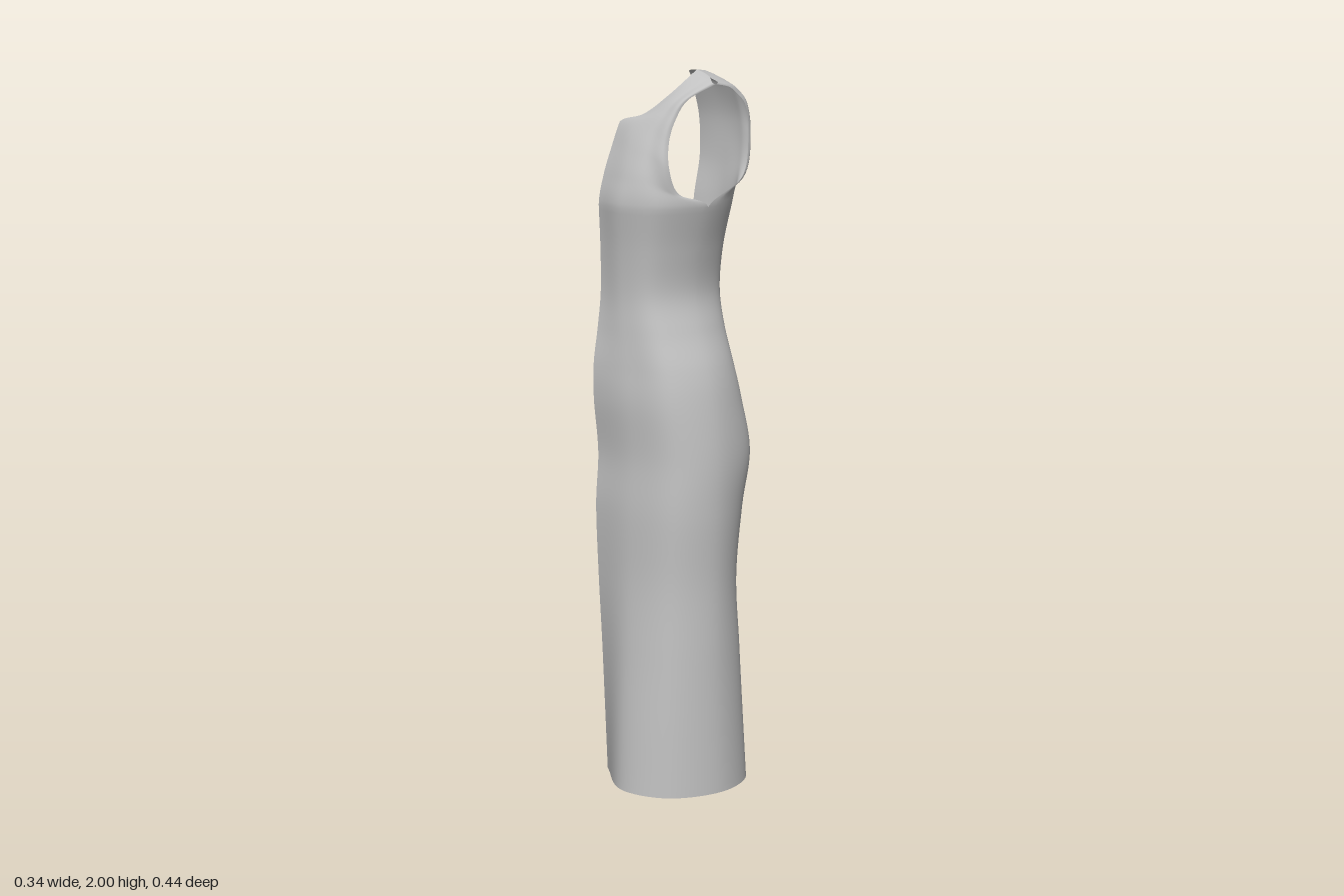
import * as THREE from 'three';
import { mergeGeometries, mergeVertices } from 'three/addons/utils/BufferGeometryUtils.js';

const CENTRE = -0.175; // x of the open centre edge

// Body sections: y, back centre z, back fullest z, side x, side z, front fullest z, front centre z
const BODY = [
  [0.00, -0.115, -0.185, 0.170, 0.010, 0.220, 0.140],
  [0.20, -0.120, -0.175, 0.161, 0.010, 0.207, 0.148],
  [0.40, -0.128, -0.165, 0.152, 0.010, 0.190, 0.157],
  [0.60, -0.138, -0.153, 0.145, 0.005, 0.175, 0.168],
  [0.80, -0.170, -0.175, 0.150, 0.000, 0.170, 0.175],
  [0.95, -0.200, -0.213, 0.146, -0.010, 0.160, 0.166],
  [1.10, -0.185, -0.190, 0.125, -0.010, 0.165, 0.180],
  [1.20, -0.168, -0.174, 0.100, -0.010, 0.160, 0.180],
  [1.30, -0.163, -0.170, 0.058, -0.010, 0.155, 0.165],
  [1.40, -0.166, -0.175, 0.027, -0.010, 0.152, 0.153],
  [1.52, -0.172, -0.181, 0.037, -0.015, 0.157, 0.153],
  [1.64, -0.187, -0.195, 0.063, -0.030, 0.168, 0.158],
];

// Bodice rows from underarm to shoulder, each from centre or neck edge to armhole edge
const SHOULDER = [[-0.042, 2, -0.08], [-0.02, 1.993, -0.085], [0.005, 1.982, -0.085], [0.03, 1.965, -0.085]];
const BACK = [
  [[-0.175, 1.75, -0.208], [-0.07, 1.75, -0.212], [0, 1.745, -0.203], [0.05, 1.71, -0.165]],
  [[-0.175, 1.86, -0.205], [-0.08, 1.86, -0.215], [-0.01, 1.85, -0.214], [0.033, 1.82, -0.203]],
  [[-0.175, 1.95, -0.18], [-0.09, 1.945, -0.195], [-0.02, 1.93, -0.2], [0.03, 1.9, -0.195]],
  [[-0.175, 1.985, -0.167], [-0.1, 1.975, -0.175], [-0.03, 1.96, -0.185], [0.028, 1.935, -0.165]],
  [[-0.085, 1.993, -0.145], [-0.05, 1.985, -0.148], [-0.01, 1.973, -0.145], [0.028, 1.955, -0.135]],
  SHOULDER,
];
const FRONT = [
  [[-0.175, 1.72, 0.14], [-0.07, 1.72, 0.15], [0, 1.715, 0.125], [0.043, 1.68, 0.058]],
  [[-0.175, 1.79, 0.113], [-0.09, 1.79, 0.122], [-0.02, 1.785, 0.112], [0.034, 1.75, 0.084]],
  [[-0.175, 1.86, 0.082], [-0.105, 1.855, 0.09], [-0.03, 1.845, 0.085], [0.02, 1.82, 0.072]],
  [[-0.1, 1.885, 0.06], [-0.06, 1.89, 0.06], [-0.02, 1.89, 0.055], [0.018, 1.88, 0.045]],
  [[-0.055, 1.935, 0.01], [-0.03, 1.935, 0.013], [-0.005, 1.933, 0.012], [0.022, 1.928, 0.005]],
  SHOULDER,
];

// Seven points around one body section, back centre to front centre
function section([y, backC, backM, sideX, sideZ, frontM, frontC], row) {
  const bulge = CENTRE + 0.45 * (sideX - CENTRE);
  const corner = bulge + 0.72 * (sideX - bulge);
  const xz = [
    [CENTRE, backC], [bulge, backM], [corner, sideZ + 0.72 * (backM - sideZ)],
    [sideX, sideZ],
    [corner, sideZ + 0.72 * (frontM - sideZ)], [bulge, frontM], [CENTRE, frontC],
  ];
  // the hem rises slightly toward the front
  return xz.map(([x, z], i) => [x, y + (row === 0 ? 0.015 * i / 6 : 0), z]);
}

const extend = (a, b) => a.map((v, i) => 2 * v - b[i]);

// Catmull-Rom point between b and c
function spline(a, b, c, d, t) {
  return b.map((v, i) => 0.5 * (2 * v + (c[i] - a[i]) * t
    + (2 * a[i] - 5 * v + 4 * c[i] - d[i]) * t * t
    + (3 * v - a[i] - 3 * c[i] + d[i]) * t * t * t));
}

// Loft rows of five points (the fifth only steers the outer edge)
function loft(rows, before, flip, steps = 8, across = 8) {
  const n = rows.length;
  const first = before || rows[0].map((p, k) => extend(p, rows[1][k]));
  const last = rows[n - 1].map((p, k) => extend(p, rows[n - 2][k]));
  const all = [first, ...rows, last];
  const pos = [], index = [], width = 3 * across + 1;
  for (let j = 0; j <= (n - 1) * steps; j++) {
    const s = Math.min(Math.floor(j / steps), n - 2), t = j / steps - s;
    const p = [0, 1, 2, 3, 4].map(k => spline(all[s][k], all[s + 1][k], all[s + 2][k], all[s + 3][k], t));
    p.unshift(extend(p[0], p[1]));
    for (let i = 0; i < width; i++) {
      const c = Math.min(Math.floor(i / across), 2);
      const q = spline(p[c], p[c + 1], p[c + 2], p[c + 3], i / across - c);
      pos.push(Math.max(q[0], CENTRE), Math.max(q[1], 0), q[2]);
      if (i && j) {
        const d = j * width + i, cc = d - 1, b = d - width, a = b - 1;
        if (flip) index.push(a, d, b, a, cc, d);
        else index.push(a, b, d, a, d, cc);
      }
    }
  }
  const g = new THREE.BufferGeometry();
  g.setAttribute('position', new THREE.Float32BufferAttribute(pos, 3));
  g.setIndex(index);
  return g;
}

// Lower body and bodice of the back or front panel
function panel(bodice, isBack) {
  const body = BODY.map((r, i) => {
    const ring = section(r, i);
    return (isBack ? ring : ring.reverse()).slice(0, 5);
  });
  const ring = body[body.length - 1];
  const lean = ring[4].map((v, i) => v - ring[3][i]);
  const upper = bodice.map(r => [...r, r[3].map((v, i) => v + lean[i])]);
  return [loft(body, null, isBack), loft([ring, ...upper], body[body.length - 2], isBack)];
}

export function createModel() {
  const group = new THREE.Group();
  group.name = 'halfDress';
  const fabric = new THREE.MeshStandardMaterial({ color: 0xc0c0c0, side: THREE.DoubleSide });
  fabric.name = 'grey fabric';

  // One continuous cloth, welded so the shading runs smoothly across the side seam
  const cloth = mergeVertices(mergeGeometries([...panel(BACK, true), ...panel(FRONT, false)]), 1e-4);
  cloth.computeVertexNormals();
  const dress = new THREE.Mesh(cloth, fabric);
  dress.name = 'dress';
  group.add(dress);
  return group;
}
